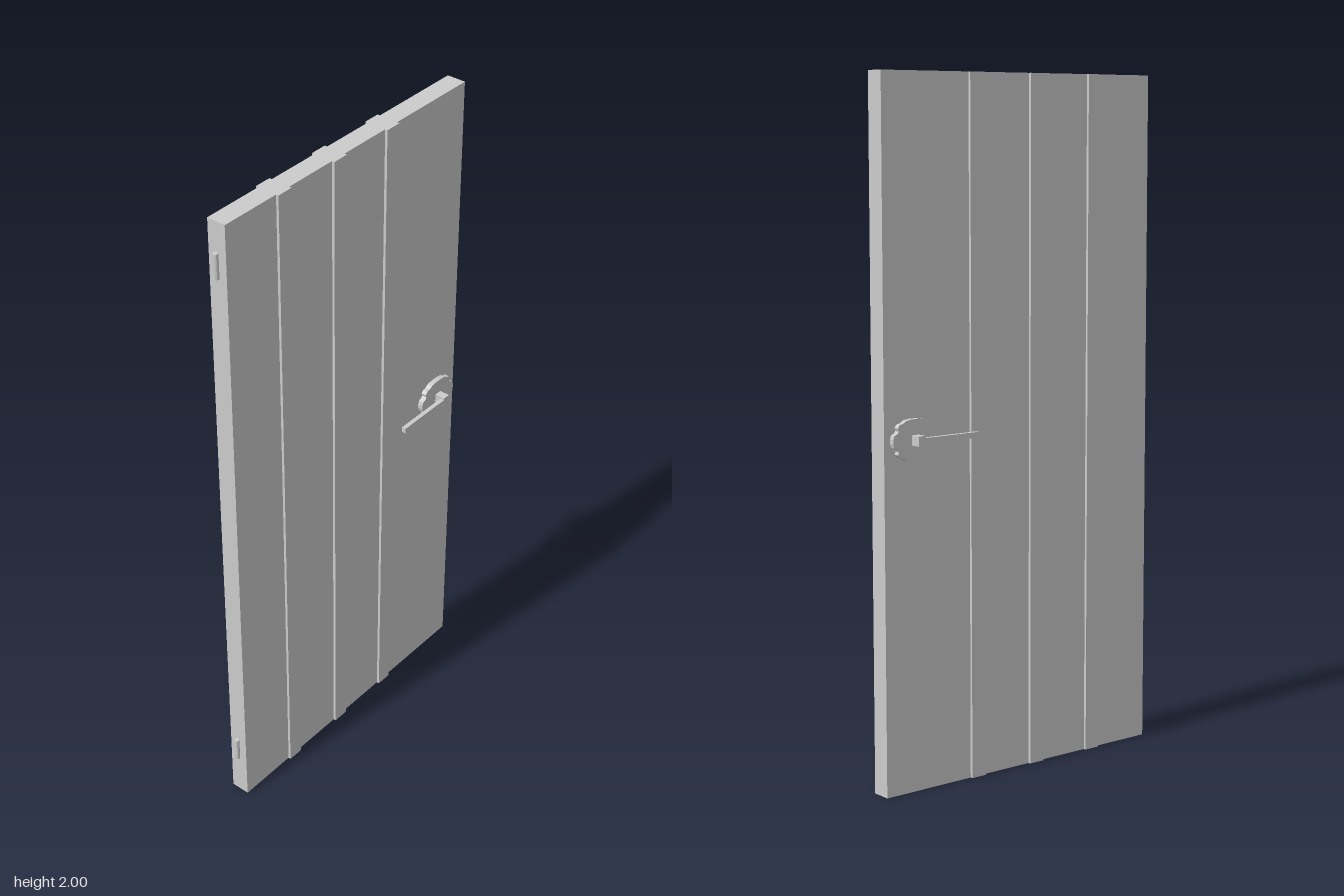
import * as THREE from 'three';

export function createModel() {
  const door = new THREE.Group();
  door.name = 'door';
  const material = new THREE.MeshStandardMaterial({ color: 0xcccccc, flatShading: true });

  function add(parent, name, geometry, x, y, z) {
    const mesh = new THREE.Mesh(geometry, material);
    mesh.name = name;
    mesh.position.set(x, y, z);
    parent.add(mesh);
    return mesh;
  }
  // box given by its extents on each axis
  function box(parent, name, x0, x1, y0, y1, z0, z1) {
    return add(parent, name, new THREE.BoxGeometry(x1 - x0, y1 - y0, z1 - z0),
      (x0 + x1) / 2, (y0 + y1) / 2, (z0 + z1) / 2);
  }

  // door leaf
  box(door, 'leaf', -0.476, 0.49, 0, 2, -0.029, 0.029);

  // raised vertical battens on both faces
  for (const x of [-0.262, -0.046, 0.17]) {
    box(door, 'frontBatten', x - 0.025, x + 0.025, 0, 2, 0.029, 0.037);
    box(door, 'backBatten', x - 0.025, x + 0.025, 0, 2, -0.037, -0.029);
  }

  // hinge pins on the right edge
  for (const y of [0.176, 1.874]) {
    add(door, 'hinge', new THREE.CylinderGeometry(0.0075, 0.0075, 0.075, 10), -0.4825, y, 0);
  }

  // scalloped plate outline, one quarter mirrored into four
  const quarter = [[0.074, 0.006], [0.071, 0.017], [0.06, 0.022], [0.056, 0.028],
    [0.059, 0.037], [0.052, 0.046], [0.042, 0.048], [0.03, 0.055], [0.012, 0.058]];
  const outline = [];
  for (const [sx, sy] of [[1, 1], [-1, 1], [-1, -1], [1, -1]]) {
    const points = quarter.map(([x, y]) => new THREE.Vector2(x * sx, y * sy));
    outline.push(...(sx * sy > 0 ? points : points.reverse()));
  }
  const plate = new THREE.ExtrudeGeometry(new THREE.Shape(outline), { depth: 0.016, bevelEnabled: false });

  // handle set on each face
  for (const side of [1, -1]) {
    const handle = new THREE.Group();
    handle.name = side > 0 ? 'frontHandle' : 'backHandle';
    const near = (a, b) => (side > 0 ? [a, b] : [-b, -a]);
    add(handle, 'plate', plate, 0.396, 1.002, side > 0 ? 0.029 : -0.045);
    box(handle, 'spindle', 0.384, 0.408, 0.988, 1.016, ...near(0.045, 0.077));
    box(handle, 'lever', 0.2, 0.384, 0.994, 1.01, ...near(0.064, 0.077));
    door.add(handle);
  }
  return door;
}
